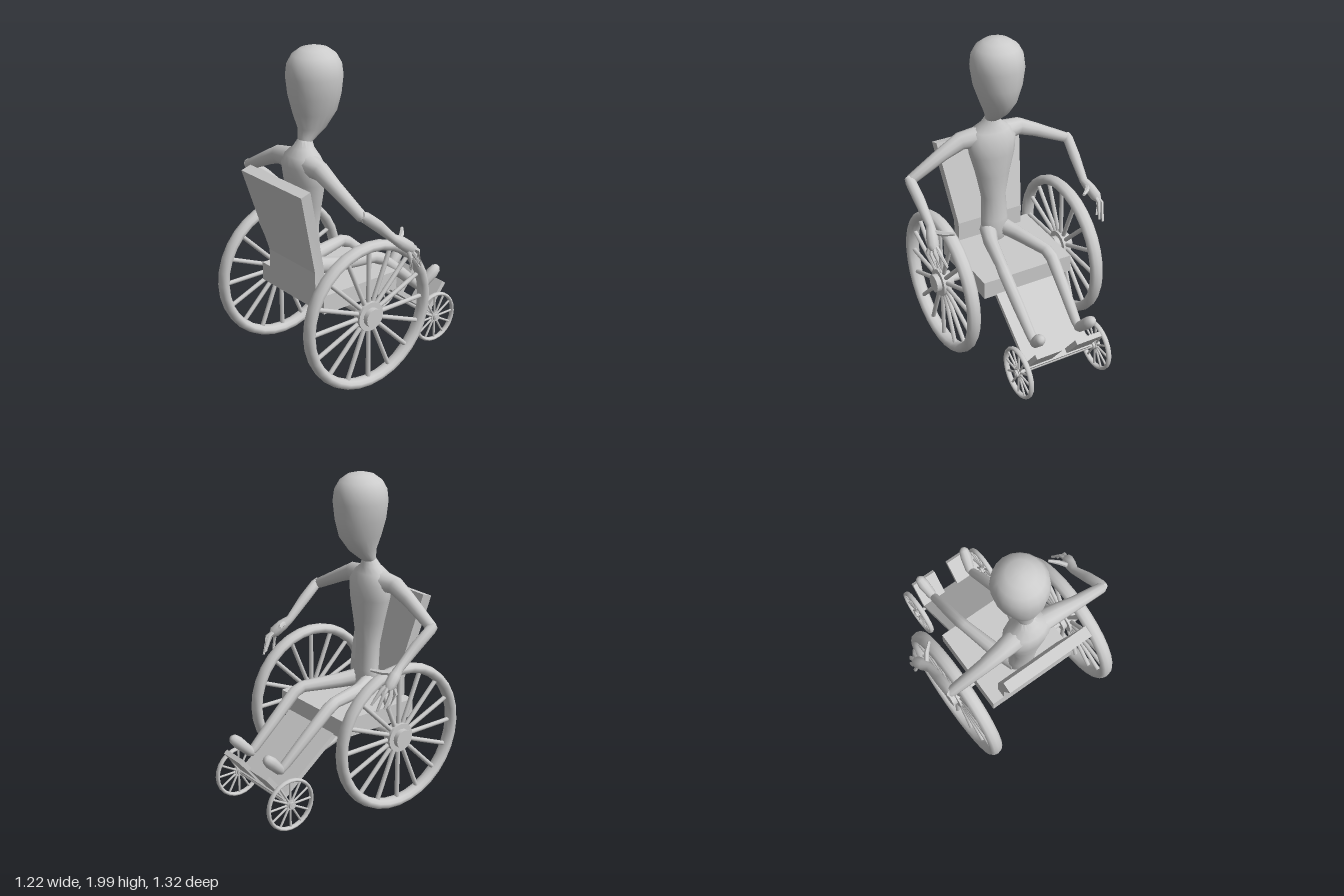
import * as THREE from 'three';
import { toCreasedNormals } from 'three/addons/utils/BufferGeometryUtils.js';

const material = new THREE.MeshStandardMaterial({ color: 0xcccccc });
const V = (x, y, z) => new THREE.Vector3(x, y, z);

function add(parent, name, geometry, x = 0, y = 0, z = 0) {
  const mesh = new THREE.Mesh(geometry, material);
  mesh.name = name;
  mesh.position.set(x, y, z);
  parent.add(mesh);
  return mesh;
}

// Closed skin through a list of rings (each ring runs counter-clockwise about the path)
function skin(rings, crease = 1) {
  const n = rings[0].length, last = rings.length - 1, pos = [], idx = [];
  const centre = (ring) => ring.reduce((s, p) => s.add(p), V(0, 0, 0)).divideScalar(n);
  for (const ring of rings) for (const p of ring) pos.push(p.x, p.y, p.z);
  for (const p of [centre(rings[0]), centre(rings[last])]) pos.push(p.x, p.y, p.z);
  const c0 = n * rings.length;
  for (let j = 0; j < n; j++) {
    const k = (j + 1) % n;
    for (let i = 0; i < last; i++) {
      const a = i * n + j, b = i * n + k;
      idx.push(a, b, a + n, b, b + n, a + n);
    }
    idx.push(c0, k, j, c0 + 1, last * n + j, last * n + k);
  }
  const g = new THREE.BufferGeometry();
  g.setAttribute('position', new THREE.Float32BufferAttribute(pos, 3));
  g.setIndex(idx);
  return toCreasedNormals(g, crease);
}

// Horizontal elliptical sections: [y, centreZ, radiusX, radiusZ]
function bodyLoft(sections, sides) {
  return skin(sections.map(([y, cz, rx, rz]) => Array.from({ length: sides }, (_, j) => {
    const a = j / sides * Math.PI * 2;
    return V(rx * Math.sin(a), y, cz + rz * Math.cos(a));
  })));
}

// Tapered limb through points [x, y, z, radius]; side = 1 or -1 mirrors it
function limb(points, side, sides = 10) {
  const p = points.map(([x, y, z]) => V(x * side, y, z));
  const rings = p.map((c, i) => {
    const t = V(0, 0, 0);
    if (i > 0) t.add(c.clone().sub(p[i - 1]).normalize());
    if (i < p.length - 1) t.add(p[i + 1].clone().sub(c).normalize());
    t.normalize();
    const u = V(0, 1, 0.35).cross(t).normalize(), v = t.clone().cross(u);
    return Array.from({ length: sides }, (_, j) => {
      const a = j / sides * Math.PI * 2, r = points[i][3];
      return c.clone().addScaledVector(u, r * Math.cos(a)).addScaledVector(v, r * Math.sin(a));
    });
  });
  return skin(rings);
}

// Cylinder lying along x
const axleGeometry = (r, length, sides = 16) =>
  new THREE.CylinderGeometry(r, r, length, sides).rotateZ(Math.PI / 2);

// Spoked wheel turning about the x axis
function wheel(name, { radius, tube, width, spokes, spokeR, hubR, hubW, discR, segments }) {
  const g = new THREE.Group();
  g.name = name;
  const ring = radius - tube;
  add(g, 'tyre', new THREE.TorusGeometry(ring, tube, 10, segments)
    .rotateY(Math.PI / 2).scale(width / (2 * tube), 1, 1));
  add(g, 'hub', axleGeometry(hubR, hubW));
  add(g, 'hubFlange', axleGeometry(discR, width * 0.6, 20));
  const inner = hubR * 0.8, length = ring - inner;
  for (let i = 0; i < spokes; i++) {
    add(g, 'spoke', new THREE.CylinderGeometry(spokeR, spokeR, length, 8)
      .translate(0, inner + length / 2, 0).rotateX(i / spokes * Math.PI * 2));
  }
  return g;
}

// Flat slab along a slope in the yz plane, from [y, z] to [y, z]
function slab(parent, name, x, width, thickness, from, to) {
  const dy = to[0] - from[0], dz = to[1] - from[1];
  const mesh = add(parent, name, new THREE.BoxGeometry(width, thickness, Math.hypot(dy, dz)),
    x, (from[0] + to[0]) / 2, (from[1] + to[1]) / 2);
  mesh.rotation.x = Math.atan2(dy, -dz);
}

function buildChair() {
  const chair = new THREE.Group();
  chair.name = 'wheelchair';
  add(chair, 'seat', new THREE.BoxGeometry(0.61, 0.115, 0.555), 0, 0.557, 0.142);

  // Backrest: upright at the seat, then leaning back and widening
  const back = [[0.5, 0.5, 0.355, 0.225], [0.74, 0.73, 0.355, 0.225], [1.27, 1.25, 0.495, 0.29]];
  add(chair, 'backrest', skin(back.map(([yFront, yRear, z, w]) => [
    V(-w, yRear, z + 0.065), V(w, yRear, z + 0.065), V(w, yFront, z), V(-w, yFront, z),
  ]), 0.2));

  slab(chair, 'legBoard', 0, 0.445, 0.03, [0.5, -0.12], [0.19, -0.515]);
  add(chair, 'rearAxle', axleGeometry(0.026, 0.86), 0, 0.473, 0.192);
  add(chair, 'frontAxle', axleGeometry(0.012, 0.6, 10), 0, 0.17, -0.495);

  for (const s of [1, -1]) {
    slab(chair, 'footPlate', s * 0.138, 0.172, 0.03, [0.21, -0.5], [0.36, -0.618]);
    const big = wheel('rearWheel', { radius: 0.464, tube: 0.031, width: 0.087, spokes: 16,
      spokeR: 0.014, hubR: 0.058, hubW: 0.115, discR: 0.09, segments: 32 });
    big.position.set(s * 0.433, 0.473, 0.192);
    const small = wheel('frontWheel', { radius: 0.166, tube: 0.011, width: 0.034, spokes: 12,
      spokeR: 0.007, hubR: 0.022, hubW: 0.05, discR: 0.03, segments: 24 });
    small.position.set(s * 0.272, 0.172, -0.495);
    chair.add(big, small);
  }
  return chair;
}

function buildFigure() {
  const figure = new THREE.Group();
  figure.name = 'seatedFigure';

  add(figure, 'head', bodyLoft([
    [1.45, 0.312, 0.044, 0.04], [1.48, 0.29, 0.052, 0.06], [1.53, 0.257, 0.075, 0.09],
    [1.62, 0.238, 0.112, 0.138], [1.72, 0.238, 0.146, 0.158], [1.83, 0.238, 0.163, 0.167],
    [1.9, 0.238, 0.155, 0.158], [1.95, 0.238, 0.128, 0.13], [1.985, 0.238, 0.08, 0.082],
    [2.0, 0.238, 0.025, 0.025],
  ], 20));

  add(figure, 'torso', bodyLoft([
    [0.61, 0.29, 0.06, 0.05], [0.67, 0.29, 0.098, 0.065], [0.76, 0.3, 0.088, 0.065],
    [0.92, 0.31, 0.08, 0.07], [1.08, 0.315, 0.112, 0.088], [1.22, 0.32, 0.15, 0.102],
    [1.32, 0.325, 0.16, 0.108], [1.38, 0.33, 0.125, 0.088], [1.42, 0.322, 0.07, 0.06],
    [1.47, 0.31, 0.042, 0.04],
  ], 16));

  const fingers = [
    [[0.555, 0.88, -0.05], [0.53, 0.79, -0.105]],
    [[0.58, 0.87, -0.05], [0.565, 0.76, -0.09]],
    [[0.593, 0.855, -0.015], [0.588, 0.77, -0.055]],
    [[0.597, 0.85, 0.02], [0.57, 0.76, -0.01]],
  ];
  for (const s of [1, -1]) {
    add(figure, 'upperArm', limb([
      [0.06, 1.335, 0.335, 0.07], [0.2, 1.33, 0.35, 0.055], [0.32, 1.275, 0.35, 0.044],
      [0.54, 1.165, 0.337, 0.033], [0.563, 1.155, 0.335, 0.02],
    ], s));
    add(figure, 'forearm', limb([
      [0.555, 1.18, 0.348, 0.022], [0.55, 1.16, 0.32, 0.033], [0.542, 1.08, 0.22, 0.034],
      [0.535, 0.97, 0.1, 0.026], [0.55, 0.935, 0.05, 0.036], [0.567, 0.895, 0.0, 0.036],
      [0.572, 0.875, -0.02, 0.02],
    ], s));
    for (const [mid, tip] of fingers) {
      add(figure, 'finger', limb([[0.56, 0.915, 0.02, 0.014], [...mid, 0.013], [...tip, 0.008]], s, 6));
    }
    add(figure, 'thumb', limb([[0.54, 0.95, 0.06, 0.016], [0.495, 0.955, 0.0, 0.015],
      [0.445, 0.965, -0.045, 0.009]], s, 6));
    add(figure, 'leg', limb([
      [0.045, 0.685, 0.3, 0.055], [0.1, 0.67, 0.16, 0.046], [0.16, 0.67, -0.08, 0.037],
      [0.168, 0.645, -0.135, 0.039], [0.162, 0.5, -0.3, 0.036], [0.155, 0.365, -0.45, 0.03],
      [0.155, 0.335, -0.485, 0.022],
    ], s));
    add(figure, 'foot', limb([
      [0.152, 0.33, -0.465, 0.02], [0.155, 0.35, -0.488, 0.032], [0.172, 0.425, -0.56, 0.038],
      [0.178, 0.455, -0.59, 0.03], [0.18, 0.465, -0.602, 0.014],
    ], s));
  }
  return figure;
}

export function createModel() {
  const model = new THREE.Group();
  model.name = 'wheelchairUser';
  model.add(buildChair(), buildFigure());
  return model;
}
